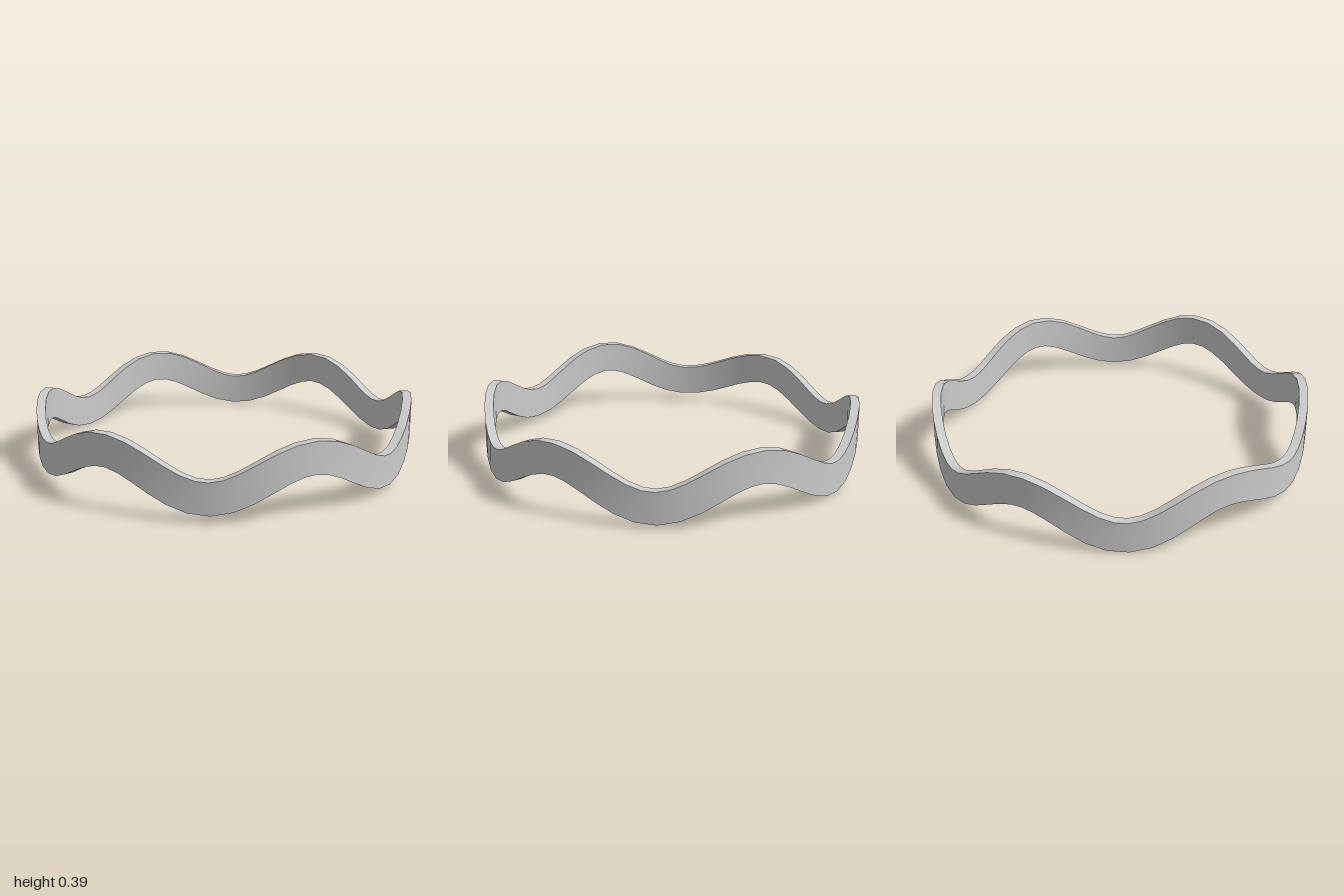
import * as THREE from 'three';

const OUTER = 1, INNER = 0.953, HALF_WIDTH = 0.083;
const WAVES = 6, AMPLITUDE = 0.088, SEGMENTS = 72;
const rad = THREE.MathUtils.degToRad;

// Height of the band's centre line; the angle is in degrees from +z towards +x.
function centreHeight(deg) {
  const a = THREE.MathUtils.euclideanModulo(deg + 75, 360) - 75;
  // The ring sinks slightly along its length, then closes over the last 30 degrees.
  const closing = THREE.MathUtils.smoothstep(a, 255, 285);
  const mean = 0.205 - (a - 14) / 6000 + 0.06 * closing;
  return mean + AMPLITUDE * Math.cos(rad(WAVES * (a - 14)));
}

// Four corners of the rectangular cross-section, square to the wave's slope.
function section(deg) {
  const slope = (centreHeight(deg + 1) - centreHeight(deg - 1)) / rad(2);
  const length = Math.hypot(1, slope);
  const corner = (radius, side) => {
    const a = rad(deg) - side * HALF_WIDTH * slope / length;
    const y = centreHeight(deg) + side * HALF_WIDTH / length;
    return [radius * Math.sin(a), Math.max(0, y), radius * Math.cos(a)];
  };
  return [corner(OUTER, -1), corner(OUTER, 1), corner(INNER, 1), corner(INNER, -1)];
}

// Outer, top, inner and bottom strips are separate, so their shared edges stay sharp.
function bandGeometry() {
  const positions = [], indices = [];
  const sections = Array.from({ length: SEGMENTS }, (_, i) => section(i * 360 / SEGMENTS));
  for (let k = 0; k < 4; k++) {
    const base = positions.length / 3;
    for (let i = 0; i < SEGMENTS; i++) {
      positions.push(...sections[i][k], ...sections[i][(k + 1) % 4]);
      const p = base + 2 * i, next = base + 2 * ((i + 1) % SEGMENTS);
      indices.push(p, next, next + 1, p, next + 1, p + 1);
    }
  }
  const geometry = new THREE.BufferGeometry();
  geometry.setAttribute('position', new THREE.Float32BufferAttribute(positions, 3));
  geometry.setIndex(indices);
  geometry.computeVertexNormals();
  return geometry;
}

export function createModel() {
  const group = new THREE.Group();
  group.name = 'wavyRing';
  const band = new THREE.Mesh(bandGeometry(), new THREE.MeshStandardMaterial({ color: 0xcccccc }));
  band.name = 'wavyBand';
  group.add(band);
  return group;
}
